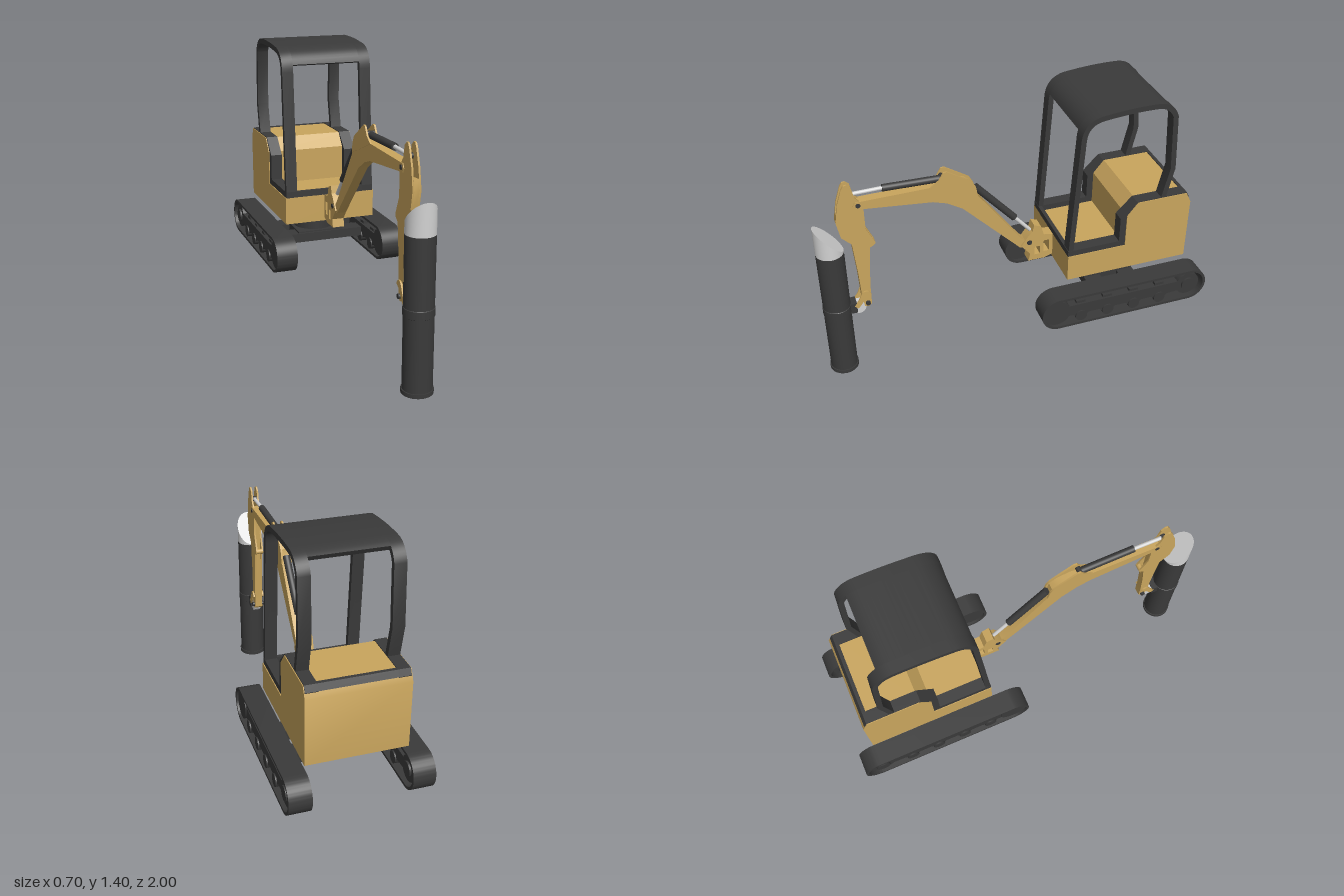
import * as THREE from 'three';
import { toCreasedNormals } from 'three/addons/utils/BufferGeometryUtils.js';

const paint = (name, color) => {
  const m = new THREE.MeshStandardMaterial({ color });
  m.name = name;
  return m;
};

export function createModel() {
  const root = new THREE.Group();
  root.name = 'pilingExcavator';
  const gold = paint('ochre', 0xc9a55d);
  const dark = paint('charcoal', 0x3a3a3a);
  const grey = paint('lightGrey', 0xd2d2d2);

  const add = (name, geo, mat, parent = root) => {
    const m = new THREE.Mesh(geo, mat);
    m.name = name;
    parent.add(m);
    return m;
  };
  const box = (name, mat, x, y, z, w, h, d, parent) =>
    add(name, new THREE.BoxGeometry(w, h, d).translate(x, y, z), mat, parent);

  // Side profile in (z, y), extruded across x and centred on cx
  const toShape = (p) => new THREE.Shape(p.map(([z, y]) => new THREE.Vector2(z, y)));
  const slab = (name, mat, shape, width, cx = 0, parent = root) => {
    const s = Array.isArray(shape) ? toShape(shape) : shape;
    const g = new THREE.ExtrudeGeometry(s, { depth: width, bevelEnabled: false, curveSegments: 20 });
    g.rotateY(-Math.PI / 2).translate(cx + width / 2, 0, 0);
    return add(name, toCreasedNormals(g, 0.5), mat, parent);
  };
  // Round bar between two (z, y) points in the centre plane
  const bar = (name, mat, a, b, r, parent = root) => {
    const len = Math.hypot(b[0] - a[0], b[1] - a[1]);
    const m = add(name, new THREE.CylinderGeometry(r, r, len, 20), mat, parent);
    m.position.set(0, (a[1] + b[1]) / 2, (a[0] + b[0]) / 2);
    m.rotation.x = Math.atan2(b[0] - a[0], b[1] - a[1]);
    return m;
  };
  // Pin, wheel or roller with its axis along x
  const disc = (name, mat, z, y, r, width, cx = 0, parent = root) =>
    add(name, new THREE.CylinderGeometry(r, r, width, 28).rotateZ(Math.PI / 2).translate(cx, y, z), mat, parent);

  // Tracks
  const stadium = (target, r, z0 = -0.905, z1 = -0.158, y = 0.323) => {
    target.absarc(z1, y, r, -Math.PI / 2, Math.PI / 2, false);
    target.absarc(z0, y, r, Math.PI / 2, Math.PI * 1.5, false);
    target.closePath();
    return target;
  };
  for (const side of [-1, 1]) {
    const track = new THREE.Group();
    track.name = side > 0 ? 'leftTrack' : 'rightTrack';
    root.add(track);
    const cx = side * 0.296;
    const belt = stadium(new THREE.Shape(), 0.094);
    belt.holes.push(stadium(new THREE.Path(), 0.08));
    slab('belt', dark, belt, 0.112, cx, track);
    disc('idlerWheel', dark, -0.15, 0.323, 0.073, 0.09, cx, track);
    disc('sprocket', dark, -0.9, 0.323, 0.066, 0.08, cx, track);
    disc('sprocketHub', dark, -0.9, 0.323, 0.038, 0.1, cx, track);
    const frame = [[-0.16, 0.35], [-0.84, 0.35], [-0.86, 0.29]];
    for (const z of [-0.735, -0.585, -0.435, -0.285]) {
      frame.push([z - 0.045, 0.285], [z - 0.025, 0.265], [z + 0.025, 0.265], [z + 0.045, 0.285]);
      disc('roller', dark, z, 0.275, 0.032, 0.094, cx, track);
      box('topLug', dark, cx, 0.355, z, 0.06, 0.018, 0.05, track);
    }
    frame.push([-0.16, 0.285]);
    slab('trackFrame', dark, frame, 0.08, cx, track);
  }

  // Undercarriage and turntable
  for (const z of [-0.43, -0.62]) box('crossBeam', dark, 0, 0.317, z, 0.48, 0.05, 0.09);
  box('centreFrame', dark, 0, 0.32, -0.525, 0.26, 0.06, 0.26);
  const ring = (name, r, y0, y1) =>
    add(name, new THREE.CylinderGeometry(r, r, y1 - y0, 40).translate(0, (y0 + y1) / 2, -0.525), dark);
  ring('turntablePost', 0.112, 0.345, 0.44);
  ring('turntablePlate', 0.133, 0.435, 0.46);

  // Upper body with floor, seat and engine cover
  slab('body', gold, [[-0.235, 0.457], [-0.235, 0.603], [-0.55, 0.603], [-0.55, 0.785],
    [-0.607, 0.855], [-0.878, 0.855], [-0.905, 0.8], [-0.905, 0.457]], 0.5);
  // Dark trim rails along both sides, joined at front and rear
  for (const side of [-1, 1]) {
    slab('sideRail', dark, [[-0.235, 0.602], [-0.235, 0.635], [-0.516, 0.635], [-0.516, 0.773],
      [-0.6, 0.859], [-0.88, 0.859], [-0.895, 0.828], [-0.88, 0.8], [-0.62, 0.8], [-0.56, 0.75], [-0.56, 0.602]],
    0.061, side * 0.2155);
  }
  box('frontSill', dark, 0, 0.618, -0.245, 0.37, 0.033, 0.02);
  slab('rearTrim', dark, [[-0.862, 0.84], [-0.862, 0.859], [-0.88, 0.859], [-0.895, 0.828]], 0.37);

  // Canopy: a bent strip for each pair of pillars and a roof between them
  const path = new THREE.Path();
  path.moveTo(-0.249, 0.61);
  path.lineTo(-0.291, 1.27);
  path.quadraticCurveTo(-0.297, 1.356, -0.377, 1.374);
  path.quadraticCurveTo(-0.527, 1.394, -0.66, 1.39);
  path.quadraticCurveTo(-0.74, 1.39, -0.767, 1.318);
  path.lineTo(-0.784, 1.02);
  path.lineTo(-0.744, 0.84);
  const line = path.getPoints(10);
  const strip = (pts, t) => {
    const left = [], right = [];
    pts.forEach((p, i) => {
      const a = pts[Math.max(i - 1, 0)], b = pts[Math.min(i + 1, pts.length - 1)];
      const l = Math.hypot(b.x - a.x, b.y - a.y);
      const nx = (-(b.y - a.y) / l) * t / 2, ny = ((b.x - a.x) / l) * t / 2;
      left.push([p.x + nx, p.y + ny]);
      right.unshift([p.x - nx, p.y - ny]);
    });
    return left.concat(right);
  };
  for (const side of [-1, 1]) slab('canopyPillars', dark, strip(line, 0.027), 0.06, side * 0.215);
  slab('canopyRoof', dark, strip(line.filter((p) => p.y > 1.29 && p.x > -0.735), 0.027), 0.37);

  // Swing bracket
  const bracket = toShape([[-0.13, 0.68], [-0.168, 0.665], [-0.185, 0.61], [-0.24, 0.6], [-0.24, 0.475],
    [-0.19, 0.457], [-0.1, 0.457], [-0.11, 0.5], [-0.06, 0.56], [-0.1, 0.62], [-0.12, 0.64]]);
  bracket.holes.push(new THREE.Path([[-0.185, 0.5], [-0.215, 0.5], [-0.215, 0.57], [-0.185, 0.57]]
    .map((p) => new THREE.Vector2(...p))));
  bracket.holes.push(new THREE.Path([[-0.135, 0.49], [-0.165, 0.49], [-0.165, 0.54], [-0.135, 0.54]]
    .map((p) => new THREE.Vector2(...p))));
  slab('swingBracket', gold, bracket, 0.064);
  disc('swingPin', dark, -0.105, 0.575, 0.014, 0.07);

  // Boom
  slab('boom', gold, [[-0.06, 0.61], [0.185, 0.95], [0.195, 1.0], [0.23, 1.03], [0.3, 1.045], [0.4, 1.025], [0.78, 1.02],
    [0.79, 1.0], [0.78, 0.98], [0.4, 0.94], [0.33, 0.917], [0.25, 0.868], [-0.055, 0.55], [-0.1, 0.535], [-0.12, 0.56]], 0.05);
  for (const side of [-1, 1]) {
    slab('boomHorn', gold, [[0.17, 0.93], [0.18, 0.985], [0.2, 1.02], [0.325, 1.1], [0.342, 1.097],
      [0.366, 1.056], [0.41, 1.025], [0.3, 0.98]], 0.009, side * 0.0235);
  }
  disc('hornPin', dark, 0.345, 1.06, 0.013, 0.054);
  disc('boomTipPin', dark, 0.765, 1.0, 0.012, 0.056);

  // Boom cylinder and arm cylinder
  bar('boomCylinder', dark, [0.176, 0.968], [-0.03, 0.735], 0.019);
  bar('boomCylinderRod', grey, [-0.03, 0.735], [-0.13, 0.622], 0.01);
  bar('armCylinder', dark, [0.355, 1.053], [0.64, 1.06], 0.018);
  bar('armCylinderRod', grey, [0.64, 1.06], [0.8, 1.057], 0.01);
  disc('armCylinderPin', dark, 0.8, 1.057, 0.014, 0.036);

  // Arm: two side plates around a narrower core
  const armLow = [[0.74, 0.96], [0.74, 0.858], [0.703, 0.775], [0.708, 0.752], [0.728, 0.74], [0.74, 0.62],
    [0.748, 0.47], [0.748, 0.39], [0.765, 0.375], [0.785, 0.38], [0.794, 0.43], [0.8, 0.59], [0.815, 0.78],
    [0.863, 0.83], [0.88, 0.92]];
  const armSide = [[0.81, 1.122], [0.79, 1.105], [0.777, 1.045], [0.74, 1.0], ...armLow,
    [0.863, 1.02], [0.837, 1.1], [0.825, 1.12]];
  for (const side of [-1, 1]) slab('armPlate', gold, armSide, 0.009, side * 0.0165);
  slab('armCore', gold, [...armLow.filter(([z]) => z > 0.735), [0.872, 0.97]], 0.026);
  disc('armLug', gold, 0.713, 0.765, 0.014, 0.04);

  // Lower linkage and clamp to the casing
  const link = new THREE.Path();
  link.moveTo(0.758, 0.45);
  link.quadraticCurveTo(0.775, 0.485, 0.79, 0.45);
  link.quadraticCurveTo(0.8, 0.42, 0.83, 0.39);
  for (const side of [-1, 1]) slab('hookLink', gold, strip(link.getPoints(8), 0.026), 0.008, side * 0.027);
  disc('tiltDrum', grey, 0.815, 0.375, 0.036, 0.036);
  disc('lowerPin', dark, 0.768, 0.4, 0.012, 0.066);
  box('clamp', dark, 0, 0.385, 0.846, 0.06, 0.06, 0.04);

  // Pile casing with a slanted cap and a drill in its open foot
  const casing = new THREE.LatheGeometry([[0.05, 0.03], [0.05, 0], [0.075, 0], [0.075, 0.02], [0.07, 0.02],
    [0.07, 0.37], [0.0725, 0.372], [0.0725, 0.41], [0.07, 0.412], [0.07, 0.745]]
    .map((p) => new THREE.Vector2(...p)), 40);
  add('casing', toCreasedNormals(casing, 0.5), dark).position.z = 0.925;
  const cap = new THREE.CylinderGeometry(0.07, 0.07, 0.08, 40).translate(0, 0.785, 0);
  const pos = cap.attributes.position;
  for (let i = 0; i < pos.count; i++) {
    if (pos.getY(i) > 0.8) pos.setY(i, 0.825 + pos.getZ(i) * 1.07);
  }
  add('slantedCap', toCreasedNormals(cap, 0.5), grey).position.z = 0.925;
  add('drillPlate', new THREE.CylinderGeometry(0.052, 0.052, 0.01, 32).translate(0, 0.03, 0.925), dark);
  add('drillHead', new THREE.CylinderGeometry(0.03, 0.03, 0.02, 24).translate(0, 0.02, 0.925), gold);
  for (let i = 0; i < 4; i++) {
    const tooth = box('drillTooth', gold, 0.022, 0, 0, 0.035, 0.014, 0.008);
    tooth.rotation.y = (i * Math.PI) / 2;
    tooth.position.set(0, 0.012, 0.925);
  }
  return root;
}
